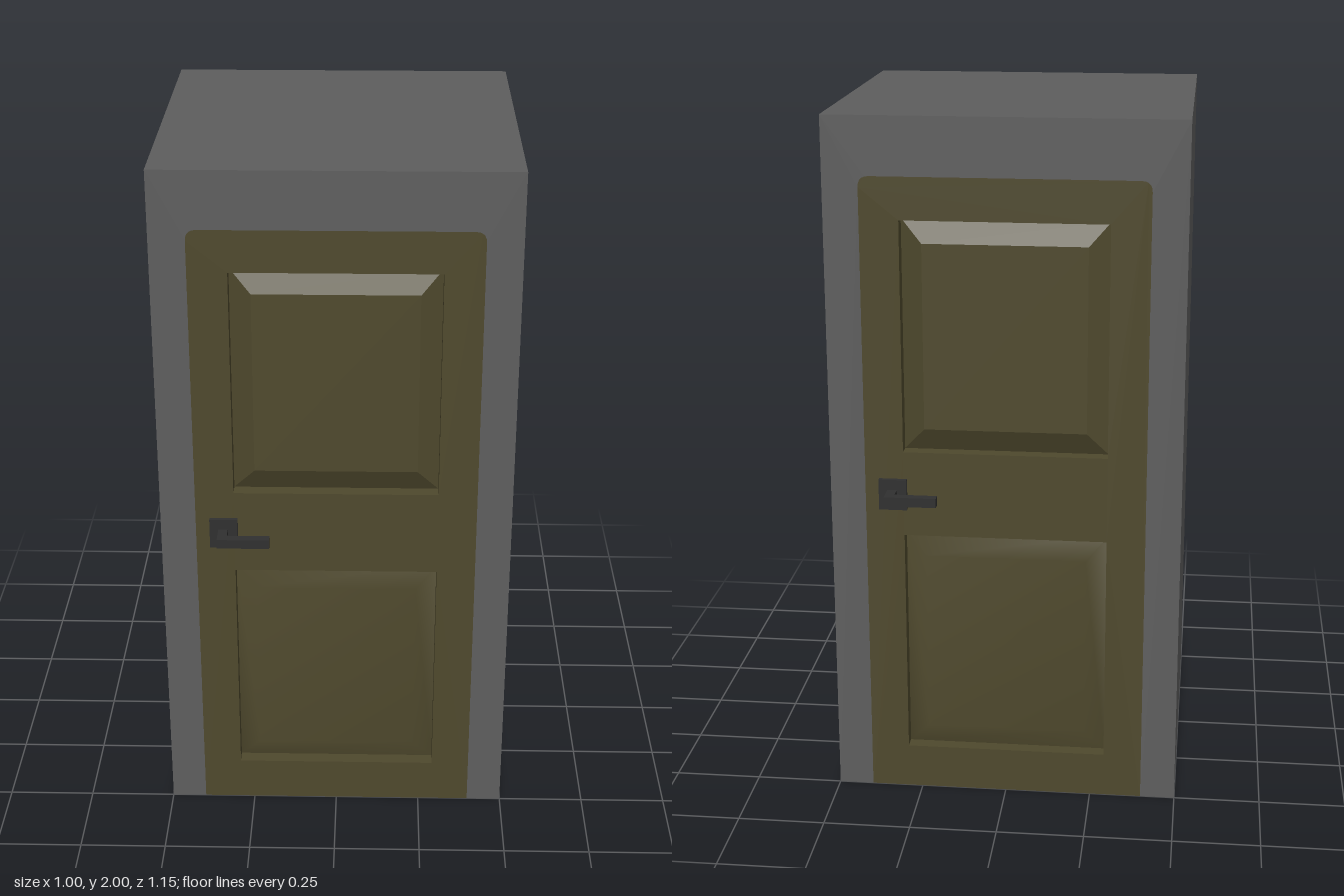
import * as THREE from 'three';

const grey = new THREE.MeshStandardMaterial({ name: 'frameGrey', color: 0x5e5e5e });
const brown = new THREE.MeshStandardMaterial({ name: 'doorBrown', color: 0x4f492d });
const dark = new THREE.MeshStandardMaterial({ name: 'handleDark', color: 0x303030 });

const DOOR_W = 0.4, DOOR_H = 1.835, CORNER = 0.03;
const PANELS = [
  { name: 'upperPanel', y0: 1.05, y1: 1.715, smooth: false },
  { name: 'lowerPanel', y0: 0.13, y1: 0.8, smooth: true },
];
const PANEL_W = 0.29, BEVEL = 0.06;

function addMesh(parent, name, geometry, material, x = 0, y = 0, z = 0) {
  const mesh = new THREE.Mesh(geometry, material);
  mesh.name = name;
  mesh.position.set(x, y, z);
  parent.add(mesh);
  return mesh;
}

function addBox(parent, name, material, [x0, x1], [y0, y1], [z0, z1]) {
  const geometry = new THREE.BoxGeometry(x1 - x0, y1 - y0, z1 - z0);
  return addMesh(parent, name, geometry, material, (x0 + x1) / 2, (y0 + y1) / 2, (z0 + z1) / 2);
}

// Door outline with rounded top corners, drawn from bottom left over the top to bottom right
function traceDoor(shape) {
  shape.lineTo(-DOOR_W, DOOR_H - CORNER);
  shape.quadraticCurveTo(-DOOR_W, DOOR_H, -DOOR_W + CORNER, DOOR_H);
  shape.lineTo(DOOR_W - CORNER, DOOR_H);
  shape.quadraticCurveTo(DOOR_W, DOOR_H, DOOR_W, DOOR_H - CORNER);
  shape.lineTo(DOOR_W, 0);
  return shape;
}

const extrude = (shape, depth) =>
  new THREE.ExtrudeGeometry(shape, { depth, bevelEnabled: false, curveSegments: 5 });

// Raised panel: four bevels climbing from the recess floor to a flat field
function panelGeometry(y0, y1, zLow, zHigh, smooth) {
  const points = [];
  for (const [inset, z] of [[0, zLow], [BEVEL, zHigh]]) {
    const w = PANEL_W - inset, a = y0 + inset * 1.1, b = y1 - inset * 1.1;
    points.push(-w, a, z, w, a, z, w, b, z, -w, b, z);
  }
  const index = [4, 5, 6, 4, 6, 7];
  for (let i = 0; i < 4; i++) {
    const j = (i + 1) % 4;
    index.push(i, j, j + 4, i, j + 4, i + 4);
  }
  let geometry = new THREE.BufferGeometry();
  geometry.setAttribute('position', new THREE.Float32BufferAttribute(points, 3));
  geometry.setIndex(index);
  if (!smooth) geometry = geometry.toNonIndexed();
  geometry.computeVertexNormals();
  return geometry;
}

function createDoor() {
  const door = new THREE.Group();

  // Front layer with two openings, and a solid backing behind it
  const front = traceDoor(new THREE.Shape().moveTo(-DOOR_W, 0));
  for (const { y0, y1 } of PANELS) {
    front.holes.push(new THREE.Path([
      new THREE.Vector2(-PANEL_W, y0), new THREE.Vector2(PANEL_W, y0),
      new THREE.Vector2(PANEL_W, y1), new THREE.Vector2(-PANEL_W, y1),
    ]));
  }
  addMesh(door, 'doorFront', extrude(front, 0.05), brown, 0, 0, 0.45);
  const back = traceDoor(new THREE.Shape().moveTo(-DOOR_W, 0));
  addMesh(door, 'doorBacking', extrude(back, 0.02), brown, 0, 0, 0.43);

  for (const { name, y0, y1, smooth } of PANELS) {
    addMesh(door, name, panelGeometry(y0, y1, 0.46, 0.488, smooth), brown);
  }

  // Lever handle
  const handle = new THREE.Group();
  handle.name = 'handle';
  addBox(handle, 'handlePlate', dark, [-0.36, -0.28], [0.88, 0.97], [0.5, 0.513]);
  addBox(handle, 'handleNeck', dark, [-0.335, -0.308], [0.913, 0.94], [0.513, 0.55]);
  addBox(handle, 'handleLever', dark, [-0.335, -0.187], [0.913, 0.94], [0.55, 0.576]);
  door.add(handle);
  return door;
}

export function createModel() {
  const model = new THREE.Group();
  model.name = 'doorBooth';

  // Hollow block: side walls and top in one piece, open through the doorway and below
  const shell = new THREE.Shape().moveTo(0.5, 0);
  shell.lineTo(0.5, 2);
  shell.lineTo(-0.5, 2);
  shell.lineTo(-0.5, 0);
  shell.lineTo(-DOOR_W, 0);
  traceDoor(shell);
  addMesh(model, 'frame', extrude(shell, 1), grey, 0, 0, -0.5);

  // Matching doors at the front and back
  ['frontDoor', 'backDoor'].forEach((name, i) => {
    const door = createDoor();
    door.name = name;
    door.rotation.y = i * Math.PI;
    model.add(door);
  });
  return model;
}
